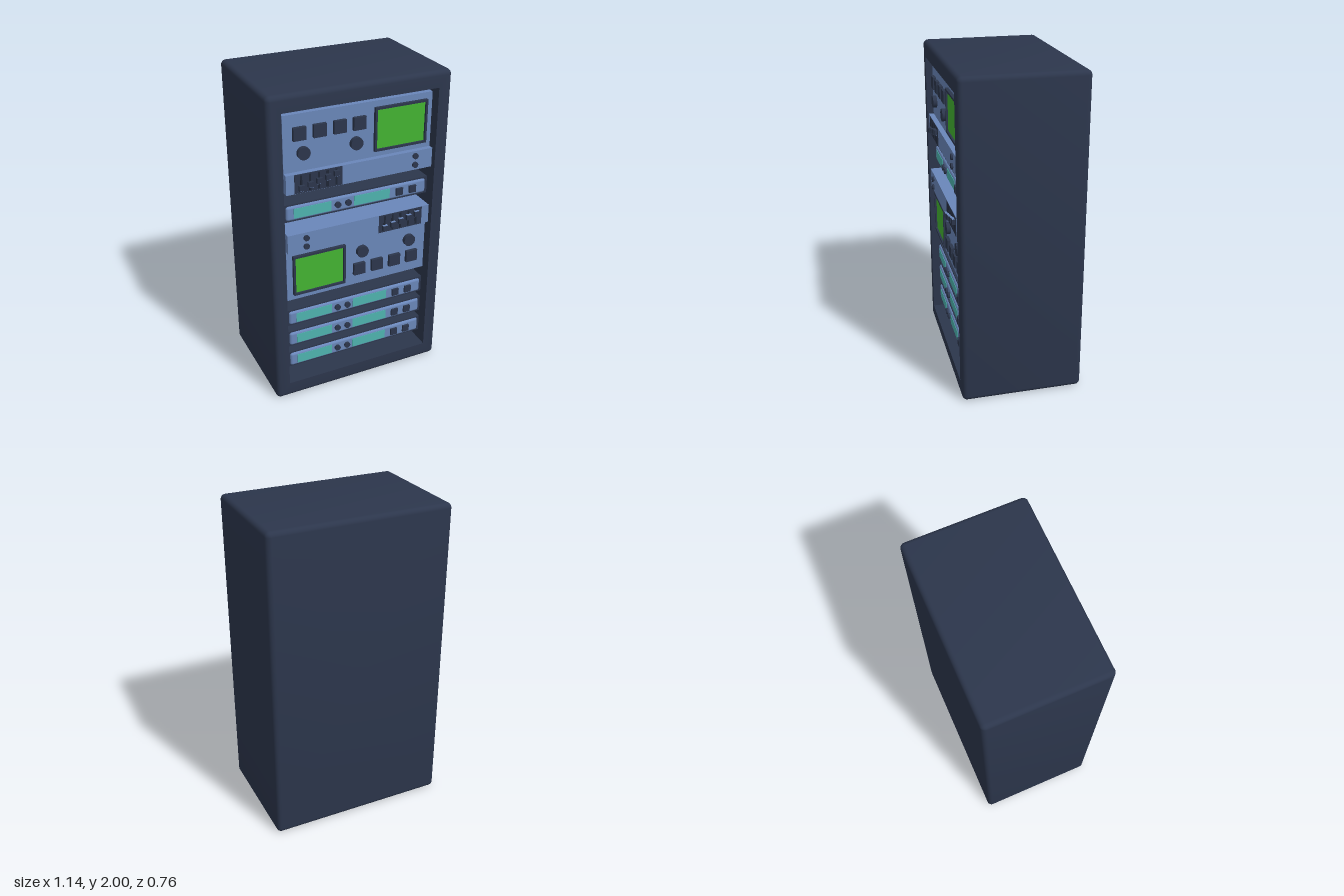
import * as THREE from 'three';
import { toCreasedNormals } from 'three/addons/utils/BufferGeometryUtils.js';
import { RoundedBoxGeometry } from 'three/addons/geometries/RoundedBoxGeometry.js';

const mat = (color) => new THREE.MeshStandardMaterial({ color });
const dark = mat(0x2c364c), slotDark = mat(0x1f2636), blue = mat(0x6a87ba);
const green = mat(0x44b432), teal = mat(0x4eb4af);

const W = 1.14, H = 2, D = 0.75, R = 0.03;   // cabinet
const FRONT = D / 2, BACK_WALL = FRONT - 0.2; // recess floor

function add(parent, name, geometry, material, x, y, z) {
  const mesh = new THREE.Mesh(geometry, material);
  mesh.name = name;
  mesh.position.set(x, y, z);
  parent.add(mesh);
  return mesh;
}

// Box given by its centre in x/y and its back and front in z
function slab(parent, name, material, x, y, w, h, z0, z1) {
  return add(parent, name, new THREE.BoxGeometry(w, h, z1 - z0), material, x, y, (z0 + z1) / 2);
}

// Round knob facing +z, standing on plane z
function knob(parent, name, x, y, r, z, depth) {
  const geometry = new THREE.CylinderGeometry(r, r, depth, 24).rotateX(Math.PI / 2);
  return add(parent, name, geometry, dark, x, y, z + depth / 2);
}

// Rounded rectangle outline, counter-clockwise seen from the front
function ring(hw, hh, r, z, steps = 5) {
  const points = [];
  for (let c = 0; c < 4; c++) {
    const sx = c === 0 || c === 3 ? 1 : -1, sy = c < 2 ? 1 : -1;
    for (let i = 0; i <= steps; i++) {
      const a = (c + i / steps) * Math.PI / 2;
      points.push([sx * (hw - r) + r * Math.cos(a), sy * (hh - r) + r * Math.sin(a), z]);
    }
  }
  return points;
}

// Cabinet shell: lofted from the back, around the soft edges, into the recess
function cabinetGeometry() {
  const rings = [ring(0, 0, 0, -FRONT)];
  const edge = (t, side) => {
    const inset = R * (1 - Math.sin(t));
    rings.push(ring(W / 2 - inset, H / 2 - inset, R * Math.sin(t), side * (FRONT - R + R * Math.cos(t))));
  };
  for (let i = 0; i <= 5; i++) edge(i / 5 * Math.PI / 2, -1);
  for (let i = 5; i >= 0; i--) edge(i / 5 * Math.PI / 2, 1);
  rings.push(ring(0.485, 0.9, 0, FRONT), ring(0.485, 0.9, 0, BACK_WALL), ring(0, 0, 0, BACK_WALL));

  const n = rings[0].length, positions = [], index = [];
  rings.forEach((points) => points.forEach((p) => positions.push(...p)));
  for (let k = 0; k < rings.length - 1; k++) {
    for (let i = 0; i < n; i++) {
      const j = (i + 1) % n, a = k * n + i, b = k * n + j;
      index.push(a, b, b + n, a, b + n, a + n);
    }
  }
  const geometry = new THREE.BufferGeometry();
  geometry.setAttribute('position', new THREE.Float32BufferAttribute(positions, 3));
  geometry.setIndex(index);
  // Creasing works on a coarse grid, so do it at a larger scale
  geometry.scale(100, 100, 100);
  return toCreasedNormals(geometry, 0.6).scale(0.01, 0.01, 0.01);
}

// Console: screen panel above, projecting fader ledge below; origin at its centre
function consoleUnit() {
  const unit = new THREE.Group();
  const face = 0.335, ledge = 0.367;
  slab(unit, 'consolePanel', blue, 0, 0.06, 0.935, 0.34, BACK_WALL, face);
  slab(unit, 'consoleLedge', blue, 0, -0.17, 0.935, 0.12, BACK_WALL, ledge);

  // Screen with raised frame
  const frame = new THREE.Shape([[-0.17, -0.133], [0.17, -0.133], [0.17, 0.133], [-0.17, 0.133]]
    .map((p) => new THREE.Vector2(...p)));
  frame.holes.push(new THREE.Path([[-0.157, -0.12], [-0.157, 0.12], [0.157, 0.12], [0.157, -0.12]]
    .map((p) => new THREE.Vector2(...p))));
  add(unit, 'screenFrame', new THREE.ExtrudeGeometry(frame, { depth: 0.02, bevelEnabled: false }),
    dark, 0.26, 0.06, face);
  slab(unit, 'screen', green, 0.26, 0.06, 0.314, 0.24, face, face + 0.008);

  // Buttons and dials
  for (let i = 0; i < 4; i++) {
    slab(unit, 'squareButton', dark, -0.372 + i * 0.122, 0.118, 0.077, 0.077, face, face + 0.02);
  }
  for (const x of [-0.35, -0.025]) knob(unit, 'dial', x, 0, 0.038, face, 0.025);
  for (const y of [-0.14, -0.196]) knob(unit, 'smallKnob', 0.352, y, 0.018, ledge, 0.012);

  // Fader bank with rising sliders
  slab(unit, 'faderPlate', dark, -0.27, -0.17, 0.295, 0.116, ledge - 0.01, ledge + 0.002);
  for (let i = 0; i < 5; i++) {
    const x = -0.377 + i * 0.054, y = -0.194 + i * 0.0125;
    slab(unit, 'faderSlot', slotDark, x, -0.17, 0.012, 0.1, ledge, ledge + 0.004);
    slab(unit, 'faderCap', dark, x, y, 0.034, 0.032, ledge, ledge + 0.02);
    slab(unit, 'faderMark', blue, x, y - 0.017, 0.03, 0.003, ledge, ledge + 0.018);
  }
  return unit;
}

// Slim rack unit: dark chassis, rounded faceplate, two displays, controls
function rackUnit() {
  const unit = new THREE.Group(), face = 0.332;
  slab(unit, 'rackChassis', dark, 0, 0, 0.945, 0.11, BACK_WALL, 0.32);
  add(unit, 'rackFaceplate', new RoundedBoxGeometry(0.915, 0.092, 0.04, 3, 0.016), blue, 0, 0, face - 0.02);
  for (const x of [-0.293, 0.09]) {
    slab(unit, 'rackDisplay', teal, x, 0, 0.237, 0.062, face - 0.01, face + 0.003);
  }
  for (const x of [-0.136, -0.068]) knob(unit, 'rackKnob', x, 0, 0.019, face, 0.014);
  for (const x of [0.272, 0.362]) slab(unit, 'rackButton', dark, x, 0, 0.046, 0.046, face, face + 0.012);
  return unit;
}

export function createModel() {
  const model = new THREE.Group();
  model.name = 'equipmentRack';
  add(model, 'cabinet', cabinetGeometry(), dark, 0, H / 2, 0);

  // Two consoles, the lower one mounted upside down
  const upper = consoleUnit();
  upper.name = 'upperConsole';
  upper.position.y = 1.64;
  const lower = consoleUnit();
  lower.name = 'lowerConsole';
  lower.position.y = 0.922;
  lower.rotation.z = Math.PI;
  model.add(upper, lower);

  for (const y of [1.27, 0.552, 0.397, 0.241]) {
    const unit = rackUnit();
    unit.name = 'rackUnit';
    unit.position.y = y;
    model.add(unit);
  }
  return model;
}
